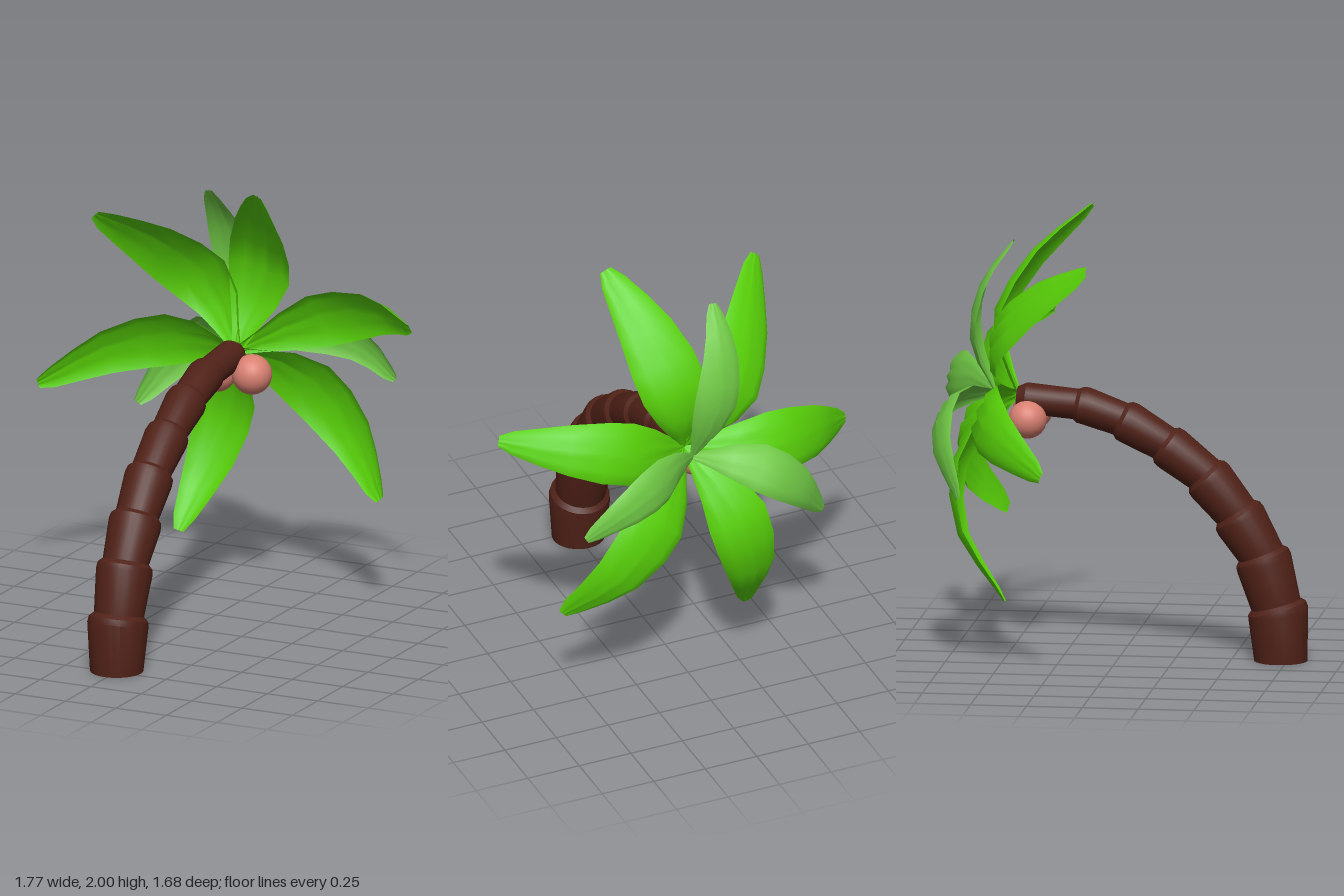
import * as THREE from 'three';
import { toCreasedNormals } from 'three/addons/utils/BufferGeometryUtils.js';

const bark = new THREE.MeshStandardMaterial({ color: 0x4f2117 });
const nutSkin = new THREE.MeshStandardMaterial({ color: 0xd98072 });
const green = new THREE.MeshStandardMaterial({ color: 0x58d008, side: THREE.DoubleSide });
const paleGreen = new THREE.MeshStandardMaterial({ color: 0x70c845, side: THREE.DoubleSide });

// Joins rows of points (all of equal length) into one surface.
function loft(rows) {
  const n = rows[0].length, index = [];
  for (let i = 0; i < rows.length - 1; i++) {
    for (let j = 0; j < n - 1; j++) {
      const a = i * n + j, b = a + n;
      index.push(a, a + 1, b, a + 1, b + 1, b);
    }
  }
  const g = new THREE.BufferGeometry().setFromPoints(rows.flat());
  g.setIndex(index);
  g.computeVertexNormals();
  return g;
}

// Trunk ring: centre (z, y), radius, and lean towards the back.
function ring(z, y, r, lean) {
  const pts = [];
  for (let j = 0; j <= 24; j++) {
    const a = (j / 24) * Math.PI * 2;
    const d = r * Math.cos(a);
    pts.push(new THREE.Vector3(-0.01 + r * Math.sin(a), y + d * Math.sin(lean), z + d * Math.cos(lean)));
  }
  return pts;
}

// Bent trunk whose segments flare upwards and end in a bevelled lip.
function makeTrunk() {
  const joints = [ // z, y, radius, lean in degrees
    [0.703, 0.232, 0.137, 15], [0.637, 0.46, 0.127, 21], [0.528, 0.647, 0.119, 33],
    [0.39, 0.817, 0.11, 43], [0.213, 0.955, 0.1, 55], [0.022, 1.063, 0.094, 66], [-0.175, 1.13, 0.084, 80],
  ];
  const rows = [ring(0.72, 0, 0.001, 0), ring(0.72, 0, 0.119, 0)];
  for (const [z, y, r, deg] of joints) {
    const t = THREE.MathUtils.degToRad(deg);
    const step = (s, k) => ring(z - s * Math.sin(t), y + s * Math.cos(t), r * k, t);
    rows.push(step(-0.025, 1), step(0.003, 0.97), step(0.022, 0.82));
  }
  rows.push(ring(-0.42, 1.155, 0.07, 1.5), ring(-0.46, 1.157, 0.05, 1.5), ring(-0.46, 1.157, 0.001, 1.5));
  const mesh = new THREE.Mesh(toCreasedNormals(loft(rows), 0.45), bark);
  mesh.name = 'trunk';
  return mesh;
}

// Frond: a ribbed, folded blade swept along a curve, widest just before halfway.
const outline = [[0, 0.16], [0.1, 0.4], [0.22, 0.74], [0.38, 1], [0.52, 0.98], [0.68, 0.82], [0.82, 0.6], [0.94, 0.38], [1, 0.18]];
const fold = [[-1, -0.26], [-0.6, 0], [-0.25, -0.09], [0, 0.07], [0.25, -0.09], [0.6, 0], [1, -0.26]];

function makeFrond(points, halfWidth, tilt, material) {
  const curve = new THREE.CatmullRomCurve3(points.map((p) => new THREE.Vector3(...p)));
  const facing = new THREE.Vector3(0, Math.sin(tilt), -Math.cos(tilt));
  const rows = outline.map(([s, k]) => {
    const centre = curve.getPointAt(s), along = curve.getTangentAt(s);
    const across = new THREE.Vector3().crossVectors(along, facing).normalize();
    const out = new THREE.Vector3().crossVectors(across, along);
    return fold.map(([u, d]) => centre.clone()
      .addScaledVector(across, u * k * halfWidth)
      .addScaledVector(out, d * k * halfWidth));
  });
  return new THREE.Mesh(loft(rows), material);
}

export function createModel() {
  const model = new THREE.Group();
  model.add(makeTrunk());

  // Coconuts
  for (const [x, y, r] of [[0.1, 1.085, 0.09], [-0.073, 1.07, 0.085]]) {
    const nut = new THREE.Mesh(new THREE.SphereGeometry(r, 24, 16), nutSkin);
    nut.position.set(x, y, -0.405);
    nut.name = 'coconut';
    model.add(nut);
  }

  // Fronds: name, half width, tilt, then three points out to the tip
  const fronds = [
    ['upperLeft', 0.155, 0, [0.06, 1.46, -0.575], [0.14, 1.74, -0.44], [0.25, 1.99, -0.16]],
    ['upperRight', 0.155, 0, [-0.17, 1.41, -0.57], [-0.34, 1.62, -0.41], [-0.515, 1.83, -0.085]],
    ['left', 0.14, 0.4, [0.3, 1.31, -0.645], [0.62, 1.395, -0.605], [0.88, 1.4, -0.41]],
    ['right', 0.14, 0.4, [-0.3, 1.17, -0.59], [-0.62, 1.1, -0.495], [-0.88, 0.96, -0.24]],
    ['lowerLeft', 0.15, 0.1, [0.2, 1.01, -0.72], [0.43, 0.765, -0.755], [0.645, 0.53, -0.59]],
    ['lowerRight', 0.14, 0, [-0.13, 0.96, -0.695], [-0.225, 0.63, -0.71], [-0.3, 0.29, -0.48]],
  ];
  const backFronds = [
    ['backTop', 0.105, 0, [-0.07, 1.44, -0.655], [-0.125, 1.7, -0.6], [-0.14, 1.89, -0.46]],
    ['backLeft', 0.105, 0.15, [0.2, 1.22, -0.75], [0.42, 1.16, -0.83], [0.62, 1.03, -0.79]],
    ['backRight', 0.11, 0.6, [-0.22, 1.18, -0.74], [-0.42, 1.04, -0.765], [-0.59, 0.8, -0.65]],
  ];
  const addAll = (list, root, material) => {
    for (const [name, width, tilt, ...pts] of list) {
      const frond = makeFrond([root, ...pts], width, tilt, material);
      frond.name = name + 'Frond';
      model.add(frond);
    }
  };
  addAll(fronds, [0, 1.17, -0.46], green);
  addAll(backFronds, [0, 1.18, -0.56], paleGreen);
  return model;
}
